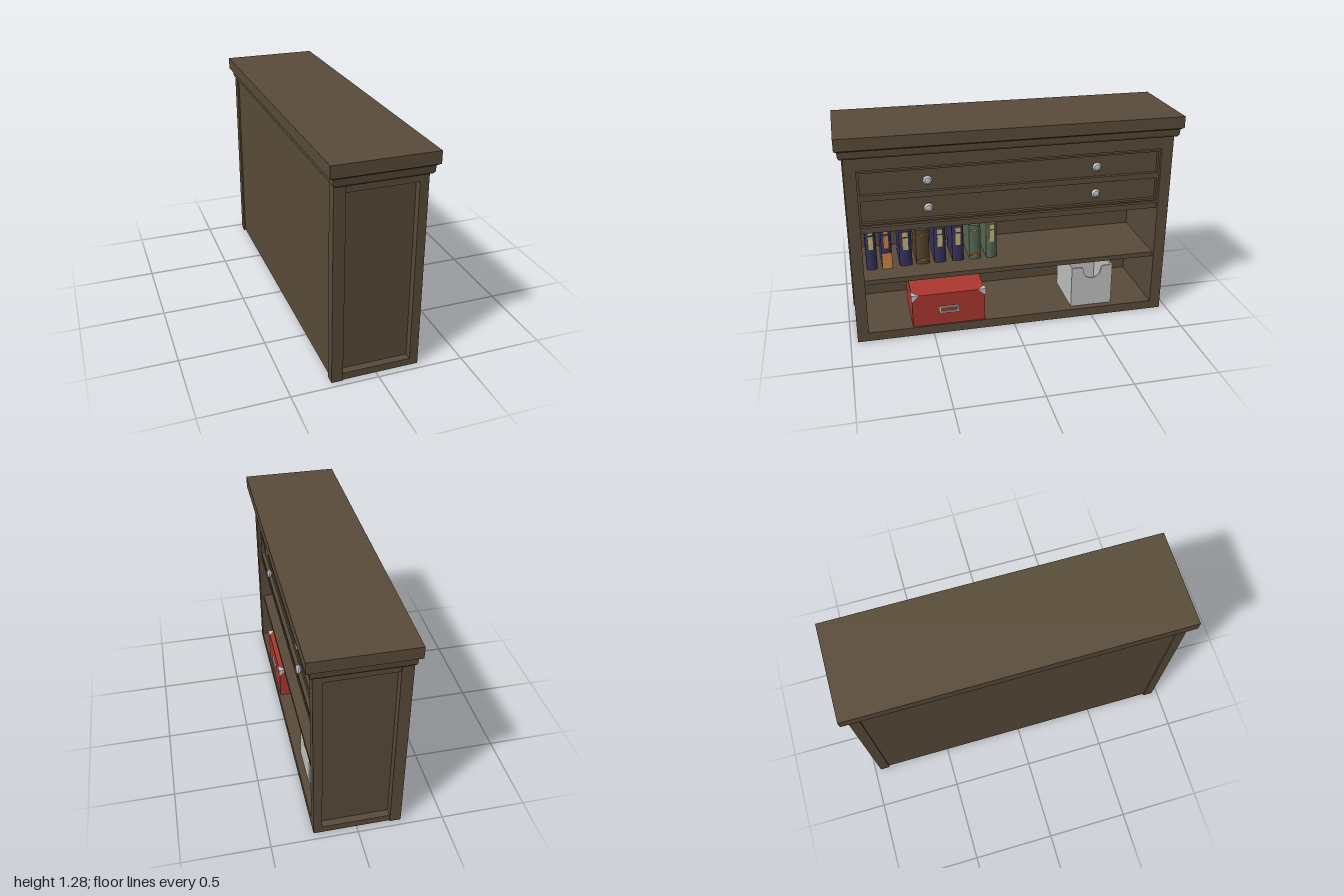
import * as THREE from 'three';
import { ConvexGeometry } from 'three/addons/geometries/ConvexGeometry.js';

const mat = (name, color) => {
  const m = new THREE.MeshStandardMaterial({ color });
  m.name = name;
  return m;
};

export function createModel() {
  const wood = mat('wood', 0x5a4c3a), metal = mat('metal', 0xc4c6c8), red = mat('red card', 0xad372f);
  const white = mat('white card', 0xc4c4c4), navy = mat('navy cloth', 0x35335a), green = mat('green cloth', 0x576852);
  const brown = mat('brown leather', 0x56452f), gold = mat('gold', 0xc9b472), orange = mat('orange', 0xd28342);

  const model = new THREE.Group();
  model.name = 'cabinet';
  const group = (name, parent = model) => {
    const g = new THREE.Group();
    g.name = name;
    parent.add(g);
    return g;
  };
  const add = (parent, name, geo, m) => {
    const mesh = new THREE.Mesh(geo, m);
    mesh.name = name;
    parent.add(mesh);
    return mesh;
  };
  // Box given by its limits on each axis
  const box = (parent, name, m, x0, x1, y0, y1, z0, z1) => {
    const mesh = add(parent, name, new THREE.BoxGeometry(x1 - x0, y1 - y0, z1 - z0), m);
    mesh.position.set((x0 + x1) / 2, (y0 + y1) / 2, (z0 + z1) / 2);
    return mesh;
  };
  // Cornice layer whose half-width and half-length change from bottom to top
  const layer = (parent, name, y0, y1, bx, bz, tx, tz) => {
    const geo = new THREE.BoxGeometry(2, y1 - y0, 2);
    const p = geo.attributes.position;
    for (let i = 0; i < p.count; i++) {
      const top = p.getY(i) > 0;
      p.setX(i, p.getX(i) * (top ? tx : bx));
      p.setZ(i, p.getZ(i) * (top ? tz : bz));
    }
    geo.computeVertexNormals();
    add(parent, name, geo, wood).position.y = (y0 + y1) / 2;
  };
  const rectPath = (path, z0, z1, y0, y1) => {
    path.moveTo(-z1, y0);
    path.lineTo(-z0, y0);
    path.lineTo(-z0, y1);
    path.lineTo(-z1, y1);
    path.closePath();
    return path;
  };
  // Extrude a shape drawn in (-z, y) along x
  const extrudeX = (parent, name, m, shape, x0, x1) => {
    const geo = new THREE.ExtrudeGeometry(shape, { depth: x1 - x0, bevelEnabled: false, curveSegments: 16 });
    geo.rotateY(Math.PI / 2);
    geo.translate(x0, 0, 0);
    return add(parent, name, geo, m);
  };

  // Cornice
  const cornice = group('cornice');
  layer(cornice, 'topSlab', 1.21, 1.28, 0.29, 1, 0.29, 1);
  layer(cornice, 'slabChamfer', 1.2, 1.21, 0.272, 0.985, 0.288, 0.998);
  layer(cornice, 'moulding', 1.165, 1.2, 0.268, 0.982, 0.27, 0.985);
  layer(cornice, 'mouldingFoot', 1.153, 1.165, 0.26, 0.972, 0.268, 0.982);

  // Carcass with framed, recessed side panels
  const carcass = group('carcass');
  box(carcass, 'backPanel', wood, -0.25, -0.23, 0.005, 1.155, -0.91, 0.91);
  box(carcass, 'bottomBoard', wood, -0.23, 0.25, 0, 0.055, -0.89, 0.89);
  box(carcass, 'topRail', wood, 0.2, 0.25, 1.08, 1.155, -0.89, 0.89);
  for (const s of [-1, 1]) {
    const side = group(s > 0 ? 'leftSide' : 'rightSide', carcass);
    const part = (name, x0, x1, y0, y1, a, b) =>
      box(side, name, wood, x0, x1, y0, y1, Math.min(s * a, s * b), Math.max(s * a, s * b));
    part('sidePanel', -0.23, 0.2, 0.0, 1.155, 0.89, 0.915);
    part('backPost', -0.26, -0.195, 0, 1.155, 0.905, 0.965);
    part('frontStile', 0.2, 0.25, 0, 1.155, 0.89, 0.958);
    part('bottomRail', -0.195, 0.2, 0, 0.042, 0.915, 0.958);
    part('sideTopRail', -0.195, 0.2, 1.11, 1.155, 0.915, 0.958);
  }
  box(carcass, 'shelf', wood, -0.23, 0.23, 0.365, 0.395, -0.89, 0.89);
  box(carcass, 'drawerFloor', wood, -0.23, 0.23, 0.695, 0.73, -0.89, 0.89);

  // Drawer bank: frame, recessed fronts and faceted knobs
  const drawers = group('drawers');
  const frame = rectPath(new THREE.Shape(), -0.89, 0.89, 0.745, 1.067);
  const rows = [0.758, 0.924];
  for (const y of rows) frame.holes.push(rectPath(new THREE.Path(), -0.878, 0.878, y, y + 0.132));
  extrudeX(drawers, 'drawerFrame', wood, frame, 0.2, 0.23);
  box(drawers, 'drawerBacking', wood, 0.18, 0.208, 0.73, 1.08, -0.89, 0.89);
  const knobProfile = [[0, 0], [0.012, 0], [0.012, 0.012], [0.026, 0.02], [0.028, 0.03], [0.018, 0.04], [0, 0.043]]
    .map(([r, h]) => new THREE.Vector2(r, h));
  const knobGeo = new THREE.LatheGeometry(knobProfile, 12).rotateZ(-Math.PI / 2).toNonIndexed();
  knobGeo.computeVertexNormals();
  for (const y of rows) for (const z of [0.5, -0.495])
    add(drawers, 'knob', knobGeo, metal).position.set(0.207, y + 0.068, z);

  // Books: cover with a gently rounded spine
  const books = group('books');
  const makeBook = (cover, z0, z1, top, front) => {
    const g = group('book', books), w = z1 - z0, back = front - 0.24;
    const outline = new THREE.Shape();
    outline.moveTo(back, -z1);
    outline.lineTo(front - 0.012, -z1);
    outline.quadraticCurveTo(front + 0.01, -(z0 + z1) / 2, front - 0.012, -z0);
    outline.lineTo(back, -z0);
    outline.closePath();
    const geo = new THREE.ExtrudeGeometry(outline, { depth: top - 0.395, bevelEnabled: false, curveSegments: 6 });
    geo.rotateX(-Math.PI / 2);
    geo.translate(0, 0.395, 0);
    add(g, 'cover', geo, cover);
    // Painted plate across the middle (or all) of the spine
    return (m, y0, y1, part = 0.44) => {
      const h = w * part / 2, c = (z0 + z1) / 2;
      const x = part > 0.6 ? front + 0.0 : front - 0.004;
      box(g, 'spinePlate', m, x, x + 0.006, y0, y1, c - h, c + h);
    };
  };
  let plate = makeBook(navy, 0.805, 0.868, 0.68, 0.1);
  plate(gold, 0.625, 0.668);
  plate(gold, 0.53, 0.612);
  plate = makeBook(navy, 0.715, 0.777, 0.68, 0.1);
  plate(orange, 0.625, 0.668);
  plate(orange, 0.53, 0.612);
  plate(orange, 0.396, 0.5, 0.98);
  for (const [z0, z1, cover] of [[0.595, 0.67, navy], [0.39, 0.46, navy], [0.28, 0.35, navy], [0.075, 0.14, green]]) {
    plate = makeBook(cover, z0, z1, 0.62, 0.09);
    plate(gold, 0.588, 0.617);
    plate(gold, 0.503, 0.58);
  }
  for (const [z0, z1, cover] of [[0.49, 0.57, brown], [0.175, 0.245, green]]) {
    plate = makeBook(cover, z0, z1, 0.62, 0.09);
    plate(cover === brown ? orange : gold, 0.588, 0.593, 0.98);
    plate(orange, 0.424, 0.431, 0.98);
  }

  // Red storage box with metal corners and a label holder
  const storage = group('storageBox');
  const lo = [-0.12, 0.055, 0.182], hi = [0.24, 0.264, 0.624];
  box(storage, 'storageBody', red, lo[0], hi[0], lo[1], hi[1], lo[2], hi[2]);
  for (const sx of [-1, 1]) for (const sz of [-1, 1]) {
    const o = 0.005, r = 0.05;
    const p = new THREE.Vector3((sx > 0 ? hi : lo)[0] + sx * o, hi[1] + o, (sz > 0 ? hi : lo)[2] + sz * o);
    const pts = [[0, 0, 0], [-sx * r, 0, 0], [0, -r * 0.9, 0], [0, 0, -sz * r]]
      .map(d => p.clone().add(new THREE.Vector3(...d)));
    add(storage, 'metalCorner', new ConvexGeometry(pts), metal);
  }
  const holder = rectPath(new THREE.Shape(), 0.343, 0.462, 0.133, 0.177);
  holder.holes.push(rectPath(new THREE.Path(), 0.354, 0.451, 0.143, 0.167));
  extrudeX(storage, 'labelHolder', metal, holder, 0.24, 0.248);

  // White open file box with finger notches
  const file = group('fileBox');
  const notched = new THREE.Shape();
  const c = 0.507, top = 0.322;
  notched.moveTo(0.375, 0.055);
  notched.lineTo(0.638, 0.055);
  notched.lineTo(0.638, top);
  notched.lineTo(c + 0.07, top);
  notched.quadraticCurveTo(c + 0.058, top - 0.004, c + 0.056, 0.3);
  notched.absarc(c, 0.3, 0.056, 0, -Math.PI, true);
  notched.quadraticCurveTo(c - 0.058, top - 0.004, c - 0.07, top);
  notched.lineTo(0.375, top);
  notched.closePath();
  extrudeX(file, 'fileFront', white, notched, 0.2, 0.21);
  extrudeX(file, 'fileBack', white, notched, -0.11, -0.1);
  box(file, 'fileSide', white, -0.1, 0.2, 0.055, top, -0.385, -0.375);
  box(file, 'fileSide', white, -0.1, 0.2, 0.055, top, -0.638, -0.628);
  box(file, 'fileFloor', white, -0.1, 0.2, 0.055, 0.065, -0.628, -0.385);

  return model;
}
